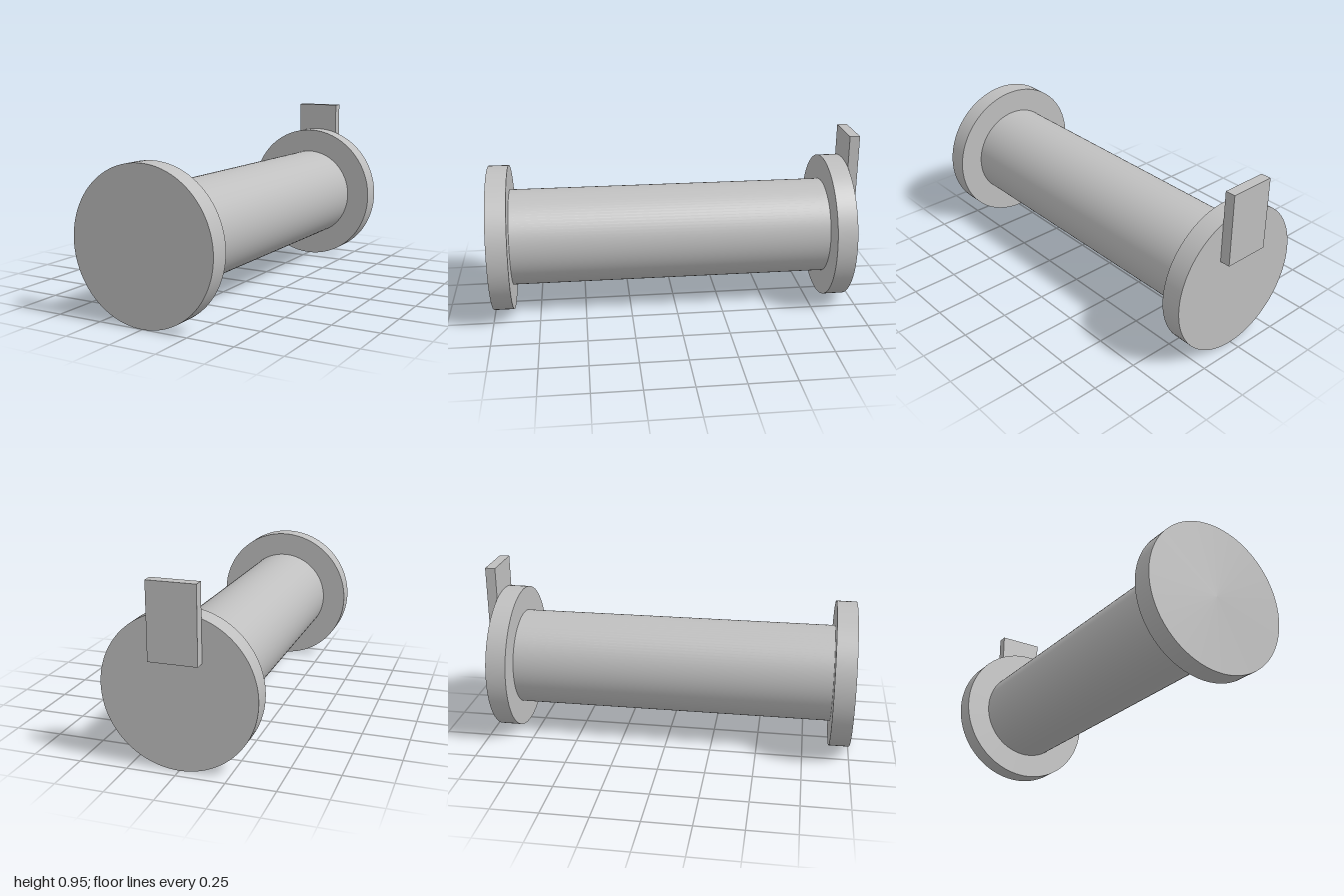
import * as THREE from 'three';

export function createModel() {
  const model = new THREE.Group();
  model.name = 'flangedSpool';
  const grey = new THREE.MeshStandardMaterial({ color: 0xbfbfbf });
  grey.name = 'grey';

  const radius = 0.396; // flange radius, also the height of the axis

  const add = (name, geometry, y, z) => {
    const mesh = new THREE.Mesh(geometry, grey);
    mesh.name = name;
    mesh.position.set(0, y, z);
    model.add(mesh);
  };

  // Cylinder lying along z between two depths
  const addRound = (name, r, z0, z1) => {
    const geometry = new THREE.CylinderGeometry(r, r, z1 - z0, 96).rotateX(Math.PI / 2);
    add(name, geometry, radius, (z0 + z1) / 2);
  };

  addRound('shaft', 0.262, -0.836, 0.891);
  addRound('frontFlange', radius, 0.891, 1);
  addRound('backFlange', radius, -0.945, -0.836);

  // Upright tab fixed to the back flange
  add('tab', new THREE.BoxGeometry(0.248, 0.389, 0.055), 0.7515, -0.9725);

  return model;
}
